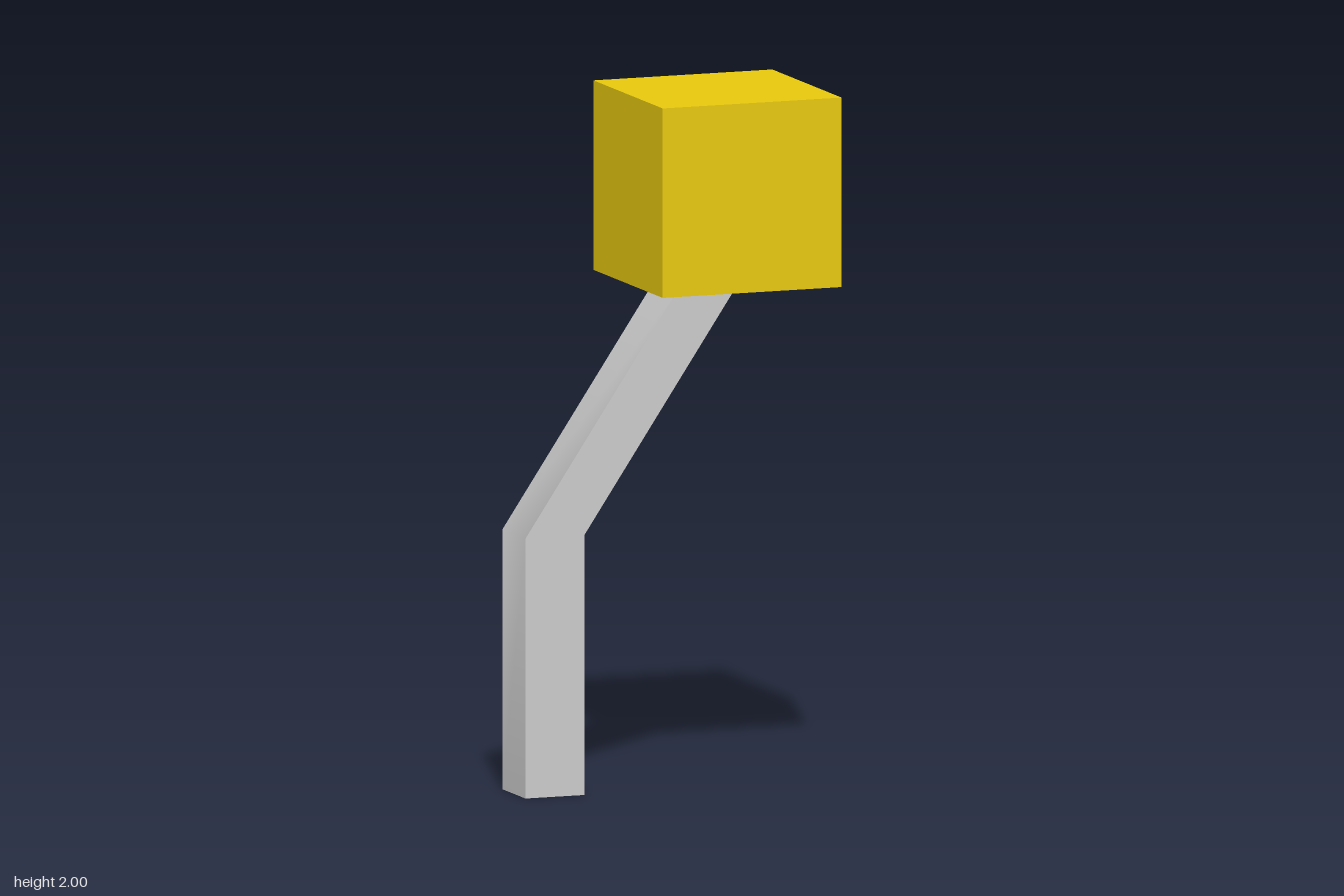
import * as THREE from 'three';
import { toCreasedNormals } from 'three/addons/utils/BufferGeometryUtils.js';

export function createModel() {
  const model = new THREE.Group();
  model.name = 'blockTree';

  // Bent trunk: upright below, leaning towards +x above, softly shaded over the bend
  const bottom = 1.453, bend = 0.75, depth = 0.182;
  const profile = new THREE.Shape([
    [-0.448, 0], [-0.268, 0], [-0.268, bend],
    [0.205, bottom], [0.025, bottom], [-0.448, bend],
  ].map(([x, y]) => new THREE.Vector2(x, y)));
  const trunkGeometry = new THREE.ExtrudeGeometry(profile, { depth, bevelEnabled: false });
  trunkGeometry.translate(0, 0, -0.095);
  const trunk = new THREE.Mesh(
    toCreasedNormals(trunkGeometry, 0.8),
    new THREE.MeshStandardMaterial({ color: 0xcccccc })
  );
  trunk.name = 'trunk';
  model.add(trunk);

  // Cube crown resting on the trunk
  const size = 2 - bottom;
  const crown = new THREE.Mesh(
    new THREE.BoxGeometry(size, size, size),
    new THREE.MeshStandardMaterial({ color: 0xe8c80e })
  );
  crown.position.set(0.173, bottom + size / 2, 0);
  crown.name = 'crown';
  model.add(crown);

  return model;
}
